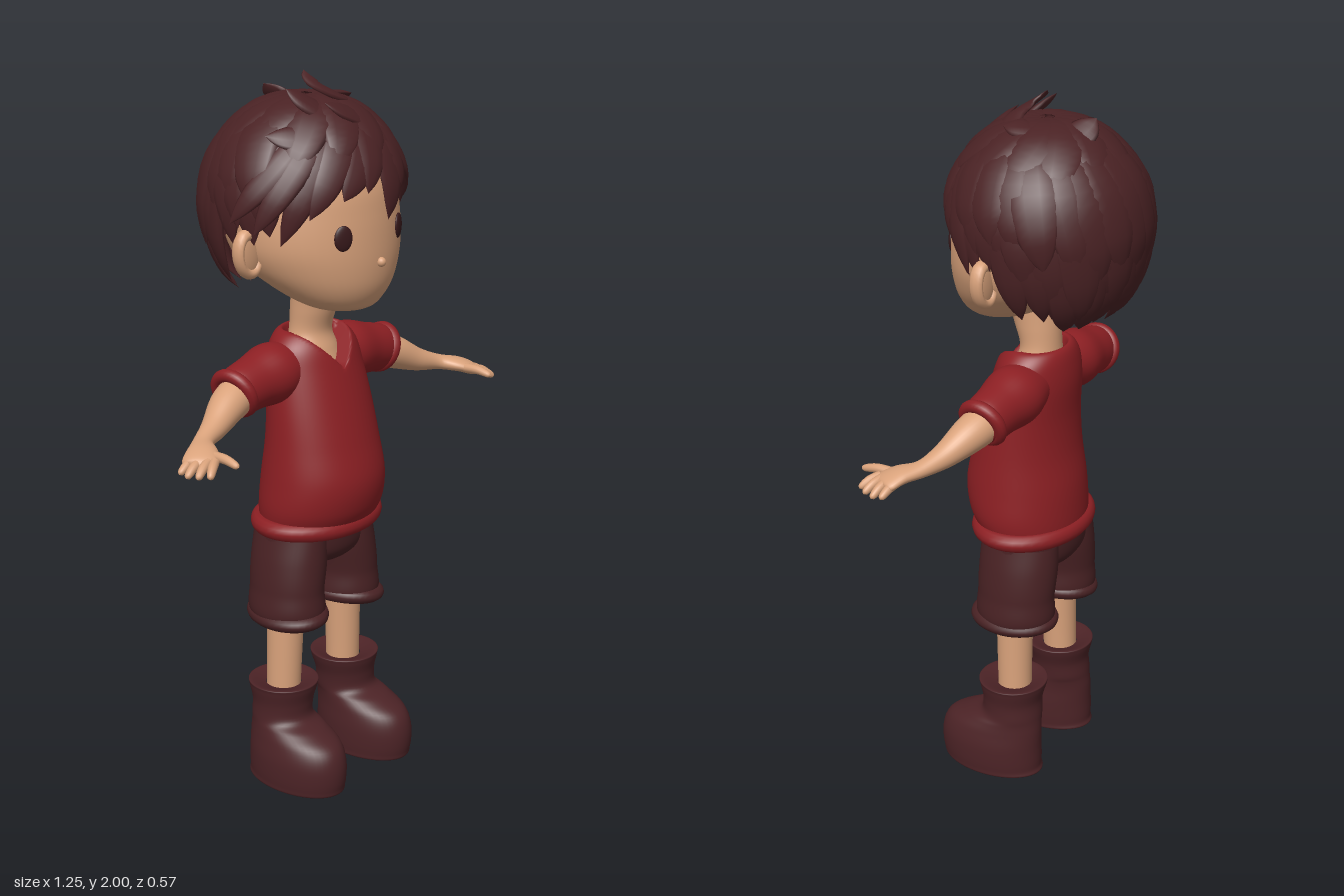
import * as THREE from 'three';

const V3 = (x, y, z) => new THREE.Vector3(x, y, z);
const D = Math.PI / 180;
const paint = (name, color, side = THREE.FrontSide) => {
  const m = new THREE.MeshStandardMaterial({ color, side });
  m.name = name;
  return m;
};

// Smooth skin through oval sections [x, y, z, a, b]; ref(point) gives the section's "up",
// or null keeps every section horizontal (listed bottom to top)
function sweep(rows, ref, steps = 32, sides = 32) {
  const path = new THREE.CatmullRomCurve3(rows.map(r => V3(r[0], r[1], r[2])), false, 'catmullrom');
  const size = new THREE.CatmullRomCurve3(rows.map(r => V3(r[3], r[4], 0)), false, 'catmullrom');
  const pos = [], idx = [];
  for (let i = 0; i <= steps; i++) {
    const t = i / steps, c = path.getPoint(t), s = size.getPoint(t);
    let U = V3(1, 0, 0), V = V3(0, 0, 1);
    if (ref) {
      const T = path.getTangent(t);
      U = T.clone().cross(ref(c)).normalize();
      V = U.clone().cross(T);
    }
    for (let j = 0; j < sides; j++) {
      const q = j / sides * Math.PI * 2;
      const p = c.clone().addScaledVector(U, Math.max(s.x, 0) * Math.cos(q))
        .addScaledVector(V, Math.max(s.y, 0) * Math.sin(q));
      pos.push(p.x, p.y, p.z);
      if (i < steps) {
        const k = (j + 1) % sides, a = i * sides, b = a + sides;
        idx.push(a + j, b + j, a + k, b + j, b + k, a + k);
      }
    }
  }
  const g = new THREE.BufferGeometry();
  g.setAttribute('position', new THREE.Float32BufferAttribute(pos, 3));
  g.setIndex(idx);
  g.computeVertexNormals();
  return g;
}

// Upright body from rows [y, halfWidth, zFront, zBack, xCentre]
const column = (rows, steps = 40, sides = 48) => sweep(
  rows.map(([y, rx, zf, zb, x = 0]) => [x, y, (zf + zb) / 2, rx, (zf - zb) / 2]), null, steps, sides);
const up = () => V3(0, 1, 0);

export function createModel() {
  const root = new THREE.Group();
  root.name = 'boy';
  const skin = paint('skin', 0xd9a27b);
  const red = paint('shirt red', 0x8c1f23, THREE.DoubleSide);
  const brown = paint('shorts brown', 0x482123);
  const leather = paint('boot brown', 0x4c2326);
  const hairMat = paint('hair brown', 0x4a2224, THREE.DoubleSide);
  const dark = paint('eye brown', 0x38191b);
  const add = (name, geo, mat, parent = root) => {
    const m = new THREE.Mesh(geo, mat);
    m.name = name;
    parent.add(m);
    return m;
  };
  // Rolled edge: an oval ring around the given axis
  const roll = (name, mat, c, rx, rz, r, axis = V3(0, 1, 0)) => {
    const g = new THREE.TorusGeometry(rx, r, 12, 40);
    g.scale(1, rz / rx, 1);
    const m = add(name, g, mat);
    m.quaternion.setFromUnitVectors(V3(0, 0, 1), axis.normalize());
    m.position.set(...c);
    return m;
  };

  // Head, neck and face
  add('head', column([
    [1.375, 0, .14, .14], [1.385, .08, .205, .06], [1.41, .135, .228, 0], [1.45, .182, .245, -.08],
    [1.5, .222, .252, -.16], [1.56, .246, .252, -.2], [1.64, .25, .246, -.22], [1.72, .24, .232, -.22],
    [1.8, .2, .19, -.18], [1.86, .12, .11, -.1], [1.89, 0, 0, 0]], 50), skin);
  add('neck', column([[1.15, .1, .1, -.05], [1.2, .095, .1, -.05], [1.25, .08, .085, -.045],
    [1.3, .062, .072, -.042], [1.36, .062, .09, -.04], [1.42, .065, .11, -.035]]), skin);
  const nose = add('nose', new THREE.SphereGeometry(.013, 16, 12), skin);
  nose.position.set(.008, 1.518, .255);
  for (const s of [1, -1]) {
    const eye = add('eye', new THREE.SphereGeometry(1, 24, 16), dark);
    eye.scale.set(.026, .034, .008);
    eye.position.set(s * .112, 1.595, .226);
    eye.rotation.y = s * .43;
    const ear = new THREE.Group();
    ear.name = 'ear';
    ear.position.set(s * .262, 1.55, .03);
    ear.rotation.z = -s * .2;
    add('ear lobe', new THREE.SphereGeometry(1, 24, 16), skin, ear).scale.set(.043, .062, .016);
    add('ear rim', new THREE.TorusGeometry(.036, .011, 10, 28), skin, ear).scale.set(1, 1.45, 1.8);
    root.add(ear);
  }

  // Shirt with a V neckline cut by lowering the front of the collar
  const shirt = column([
    [.76, .18, .185, -.105], [.82, .19, .215, -.105], [.9, .185, .225, -.1], [1, .175, .202, -.085],
    [1.1, .166, .175, -.08], [1.2, .155, .145, -.085], [1.26, .142, .125, -.08], [1.295, .115, .105, -.07],
    [1.305, .09, .088, -.055], [1.28, .075, .075, -.045]], 60, 64);
  const p = shirt.attributes.position;
  for (let i = 0; i < p.count; i++) {
    if (p.getZ(i) > .03) p.setY(i, Math.min(p.getY(i), 1.205 + Math.abs(p.getX(i)) * 1.05));
  }
  shirt.computeVertexNormals();
  add('shirt', shirt, red);
  roll('shirt hem', red, [0, .765, .04], .186, .143, .025);

  // Shorts seat
  add('shorts seat', column([[.635, 0, .03, .03], [.645, .1, .11, -.05], [.68, .172, .145, -.09],
    [.74, .178, .152, -.1], [.78, .17, .15, -.09]]), brown);

  for (const s of [1, -1]) {
    // Sleeve, arm and hand
    add('sleeve', sweep([[s * .07, 1.215, .01, .07, .06], [s * .15, 1.203, .01, .085, .083],
      [s * .23, 1.192, .012, .072, .073], [s * .3, 1.18, .015, .063, .066], [s * .312, 1.178, .016, .045, .045]], up), red);
    roll('sleeve cuff', red, [s * .302, 1.18, .014], .056, .056, .018, V3(s * .93, -.35, .08));
    add('arm', sweep([[s * .26, 1.185, .01, .054, .053], [s * .34, 1.16, .028, .051, .049],
      [s * .42, 1.125, .055, .036, .034], [s * .49, 1.107, .082, .027, .022], [s * .535, 1.098, .122, .042, .02],
      [s * .57, 1.083, .148, .044, .016], [s * .585, 1.078, .156, 0, 0]], up), skin);
    const fingers = [
      [[.55, 1.088, .115], [.62, 1.062, .125]], [[.56, 1.088, .14], [.622, 1.058, .152]],
      [[.555, 1.088, .162], [.613, 1.06, .182]], [[.545, 1.088, .175], [.595, 1.062, .208]],
      [[.525, 1.095, .15], [.53, 1.085, .245]]];
    fingers.forEach(([a, b], i) => {
      const at = (t, r) => [s * (a[0] + (b[0] - a[0]) * t), a[1] + (b[1] - a[1]) * t + .006 * Math.sin(t * 3),
        a[2] + (b[2] - a[2]) * t, r, r];
      add(i < 4 ? 'finger' : 'thumb', sweep([at(0, .013), at(.5, .0125), at(.9, .009), at(1, 0)], up, 12, 12), skin);
    });

    // Shorts leg, leg and boot
    add('shorts leg', column([[.49, 0, .035, .035, s * .117], [.495, .09, .14, -.075, s * .117],
      [.58, .09, .146, -.085, s * .116], [.66, .09, .147, -.09, s * .105], [.74, .08, .145, -.09, s * .095]]), brown);
    roll('shorts cuff', brown, [s * .118, .5, .035], .08, .104, .021, V3(s * .08, 1, 0));
    add('leg', column([[.22, .047, .076, -.02, s * .13], [.35, .049, .08, -.02, s * .127],
      [.52, .053, .085, -.022, s * .122]], 12), skin);
    add('boot', column([
      [0, 0, .1, .1, s * .145], [.003, .088, .235, -.05, s * .146], [.025, .1, .256, -.06, s * .147],
      [.09, .102, .259, -.06, s * .147], [.14, .095, .238, -.06, s * .145], [.172, .088, .18, -.058, s * .142],
      [.195, .084, .125, -.057, s * .139], [.24, .086, .12, -.055, s * .136], [.285, .097, .13, -.066, s * .133],
      [.298, .095, .127, -.063, s * .133], [.285, .05, .08, -.02, s * .13]], 60), leather);
  }

  // Hair: everything follows one oval shell, az 0 = front, po 0 = top
  const hair = new THREE.Group();
  hair.name = 'hair';
  root.add(hair);
  const centre = V3(0, 1.66, -.005);
  const shell = (az, po, k) => {
    let r = Math.sin(po * D);
    if (po > 90) r = Math.sqrt(Math.max(r, 0));
    return V3(.262 * k * r * Math.sin(az * D), .265 * k * Math.cos(po * D), .262 * k * r * Math.cos(az * D)).add(centre);
  };
  // Scalp cap: short over the face, above the ears at the sides, long at the back
  const hairline = az => {
    const a = Math.abs(az);
    return a < 50 ? 68 : a < 100 ? 68 + (a - 50) * .7 : Math.min(142, 103 + (a - 100) * 1.6);
  };
  const cap = new THREE.SphereGeometry(1, 64, 24), cp = cap.attributes.position, v = V3();
  for (let i = 0; i < cp.count; i++) {
    v.fromBufferAttribute(cp, i);
    const az = Math.atan2(v.x, v.z) / D, po = Math.acos(THREE.MathUtils.clamp(v.y, -1, 1)) / Math.PI;
    const q = shell(az, po * hairline(az), 1);
    cp.setXYZ(i, q.x, q.y, q.z);
  }
  cap.computeVertexNormals();
  add('hair cap', cap, hairMat, hair);
  // One pointed lock lying on the shell, its tip lifted by out
  const outward = c => c.clone().sub(centre).normalize();
  const lock = (az0, po0, az1, po1, w, out = 0, k = 1.01) => {
    const rows = [[0, .3], [.2, .8], [.45, 1], [.7, .85], [.87, .5], [1, 0]].map(([t, f]) => {
      const q = shell(az0 + (az1 - az0) * t, po0 + (po1 - po0) * t, k + out * t * t);
      return [q.x, q.y, q.z, w * f, w * f * .28];
    });
    add('hair lock', sweep(rows, outward, 16, 10), hairMat, hair);
  };
  let seed = 7;
  const rnd = () => (seed = (seed * 16807) % 2147483647) / 2147483647;

  // Back and side layers, longest first
  for (const [drop, w, k, shift] of [[0, .055, 1, 0], [18, .055, 1.015, 8], [42, .06, 1.03, 3]]) {
    for (let az = 72; az <= 288; az += 15) {
      const a = az + shift + rnd() * 6 - 3, side = Math.abs(a > 180 ? a - 360 : a);
      const end = (side < 102 ? 106 : side < 120 ? 138 : 154) - drop * (side < 102 ? .5 : 1) + rnd() * 10 - 5;
      lock(a - 12, 18 + rnd() * 15, a, end, w + rnd() * .012, .02 + rnd() * .03, k);
    }
  }
  // Fringe tips: az, po, width, lift
  const fringe = [[-62, 107, .045, .03], [-46, 92, .045, .03], [-27, 83, .05, .03], [-12, 80, .05, .03],
    [4, 96, .055, .03], [16, 82, .05, .03], [32, 78, .055, .03], [46, 84, .055, .03], [60, 95, .055, .03],
    [72, 110, .05, .03], [-75, 100, .045, .12], [-88, 95, .04, .14], [80, 112, .045, .02]];
  fringe.forEach(([az, po, w, out], i) =>
    lock(az * .75 + (az > 20 ? -12 : 22), 22 + (i % 3) * 8, az, po, w, out, 1.015 + (i % 2) * .012));
  // Top locks sweeping out from the crown
  for (let az = 0; az < 360; az += 30) lock(az + 30, 4, az, 58 + rnd() * 14, .062, .03, 1.025);
  // Upright tufts
  lock(90, 30, -60, 4, .035, .26, 1.02);
  lock(-10, 28, -70, 24, .04, .24);
  lock(40, 40, -30, 30, .04, .17);
  lock(150, 25, 185, 26, .045, .2);
  lock(100, 12, 60, 26, .05, .12);
  lock(-30, 45, -75, 50, .04, .13);
  return root;
}
